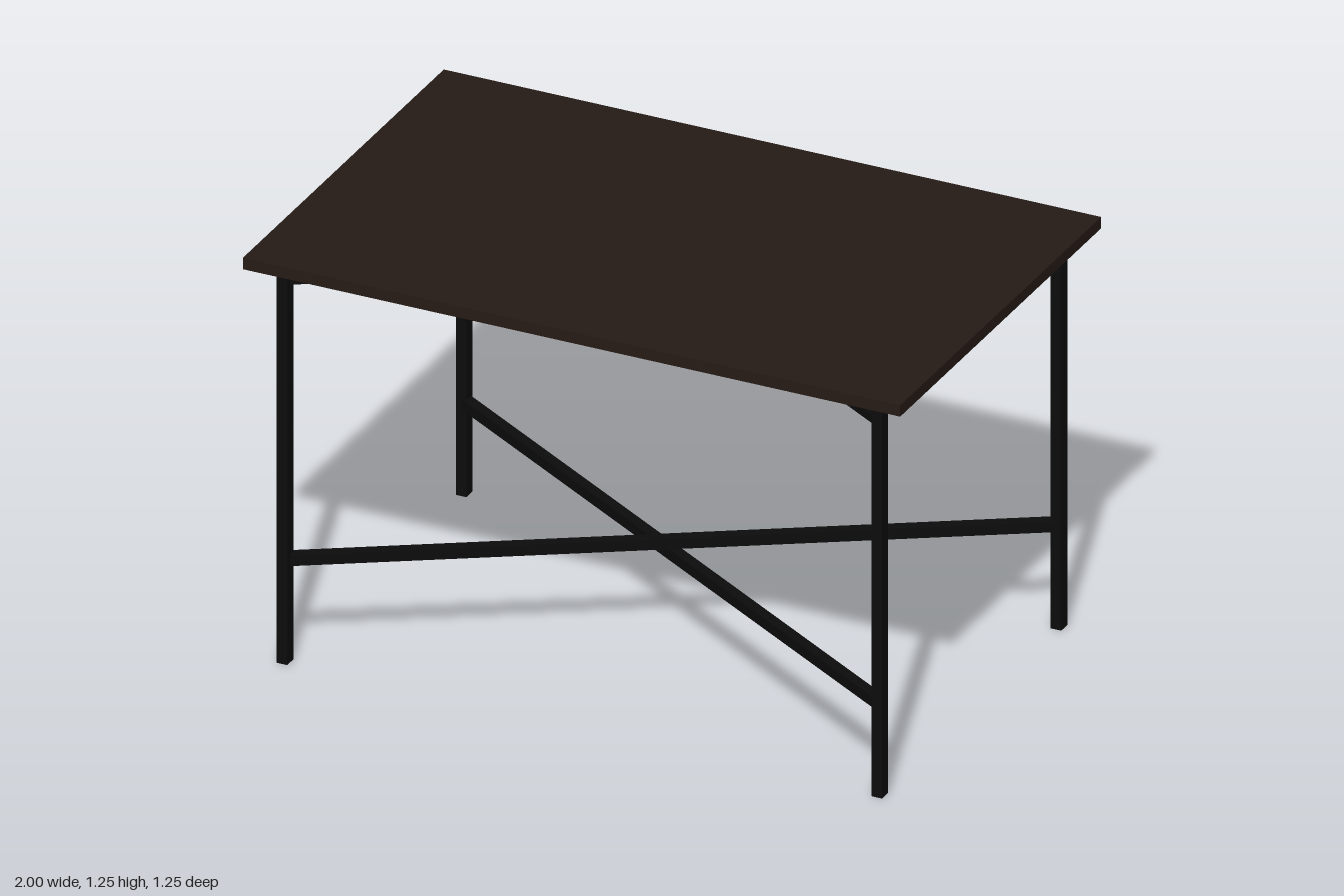
import * as THREE from 'three';

const LEG_X = 0.905, LEG_Z = 0.557, TOP_UNDERSIDE = 1.215;

export function createModel() {
  const table = new THREE.Group();
  table.name = 'table';
  const wood = new THREE.MeshStandardMaterial({ color: 0x261b16 });
  const metal = new THREE.MeshStandardMaterial({ color: 0x0c0c0c });

  const add = (name, geometry, material, x, y, z) => {
    const mesh = new THREE.Mesh(geometry, material);
    mesh.name = name;
    mesh.position.set(x, y, z);
    table.add(mesh);
    return mesh;
  };

  // Table top
  add('tableTop', new THREE.BoxGeometry(2, 0.035, 1.25), wood, 0, TOP_UNDERSIDE + 0.0175, 0);

  // Four legs
  const legGeometry = new THREE.BoxGeometry(0.032, TOP_UNDERSIDE, 0.038);
  for (const [sx, side] of [[1, 'Left'], [-1, 'Right']]) {
    for (const [sz, end] of [[1, 'front'], [-1, 'back']]) {
      add(`${end}${side}Leg`, legGeometry, metal, sx * LEG_X, TOP_UNDERSIDE / 2, sz * LEG_Z);
    }
  }

  // Two pairs of diagonal bars, one bar stacked on the other in each pair
  const angle = Math.atan2(LEG_Z, LEG_X);
  const length = 2 * Math.hypot(LEG_X, LEG_Z) - 0.025;
  const addCross = (name, bottom, thickness) => {
    const bar = new THREE.BoxGeometry(length, thickness, 0.0325);
    add(`${name}CrossBarUnder`, bar, metal, 0, bottom + thickness * 0.5, 0).rotation.y = -angle;
    add(`${name}CrossBarOver`, bar, metal, 0, bottom + thickness * 1.5, 0).rotation.y = angle;
  };
  addCross('lower', 0.267, 0.0325);
  addCross('upper', 1.14, 0.025);

  // Bolt through the lower crossing
  add('crossBolt', new THREE.CylinderGeometry(0.004, 0.004, 0.076, 12), metal, 0, 0.2995, 0);

  return table;
}
